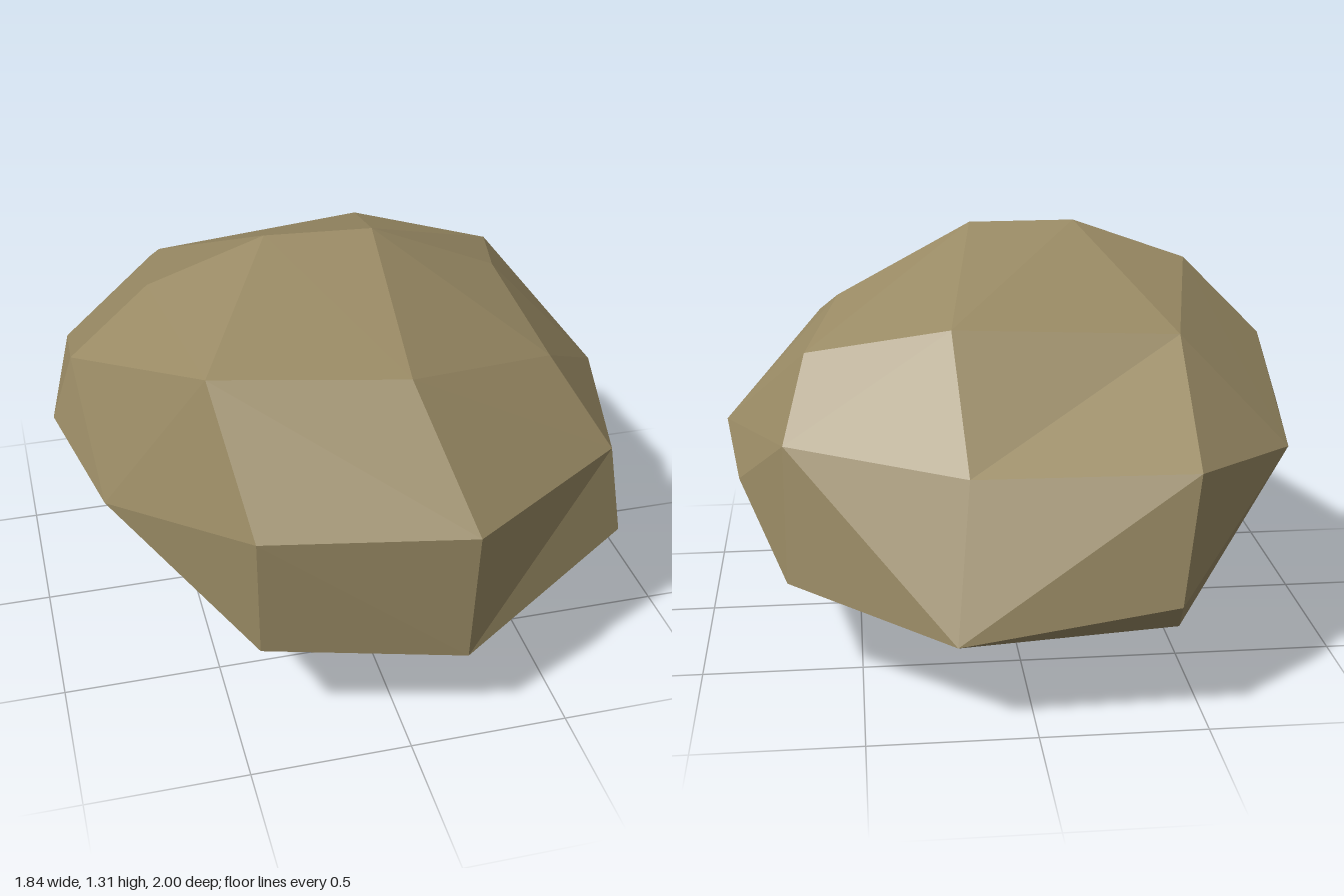
import * as THREE from 'three';
import { ConvexGeometry } from 'three/addons/geometries/ConvexGeometry.js';

// Corner points of the boulder, grouped by where they sit
const corners = {
  frontTopL: [0.19, 0.745, 1.0], frontLowL: [0.18, 0.295, 0.97],
  frontTopR: [-0.44, 0.75, 0.88], frontLowR: [-0.43, 0.34, 0.85],
  browL: [0.07, 1.105, 0.68], browR: [-0.515, 1.13, 0.58],
  cheekTop: [0.745, 0.725, 0.62], cheekLow: [0.78, 0.435, 0.655],
  footL: [0.81, 0.235, 0.395], sideL: [0.92, 0.68, 0],
  shoulderFront: [0.61, 0.95, 0.39], shoulder: [0.545, 1.09, 0], shoulderBack: [0.65, 1.0, -0.38],
  crownL: [0.11, 1.305, 0.08], crownR: [-0.23, 1.31, 0.06],
  upperR: [-0.6, 1.18, 0.05], midR: [-0.85, 0.93, 0], sideR: [-0.92, 0.7, -0.03],
  flankR: [-0.81, 0.6, 0.35], hipR: [-0.82, 0.71, -0.55],
  hipTopL: [0.72, 0.76, -0.55], hipMidL: [0.87, 0.575, -0.3], hipLowL: [0.72, 0.34, -0.6],
  backTopL: [0.21, 1.09, -0.5], backTopR: [-0.49, 1.05, -0.46],
  backMidL: [0.18, 0.725, -0.8], backLowL: [0.23, 0.28, -0.97],
  tailTop: [-0.46, 0.78, -0.965], tailLow: [-0.41, 0.39, -1.0],
  baseFront: [-0.42, 0.17, 0.38], baseL: [0.25, 0, 0.07], baseBack: [-0.51, 0.095, -0.5],
};

export function createModel() {
  const group = new THREE.Group();
  group.name = 'boulder';
  const stone = new THREE.MeshStandardMaterial({ color: 0x998a64, flatShading: true });
  stone.name = 'stone';

  const addChunk = (name, keys) => {
    const points = keys.map((k) => new THREE.Vector3(...corners[k]));
    const mesh = new THREE.Mesh(new ConvexGeometry(points), stone);
    mesh.name = name;
    group.add(mesh);
  };

  // Main mass, without the corners that stick out past shallow hollows
  const outer = ['cheekLow', 'tailTop', 'tailLow'];
  addChunk('mainRock', Object.keys(corners).filter((k) => !outer.includes(k)));

  // Lump low on the front left
  addChunk('frontLump', ['cheekLow', 'cheekTop', 'frontLowL', 'footL', 'sideL', 'baseL']);

  // Ledge jutting out at the back, leaving a hollow above it
  addChunk('backLedge', ['tailTop', 'tailLow', 'backLowL', 'backMidL', 'backTopR', 'hipR', 'baseBack']);

  return group;
}
